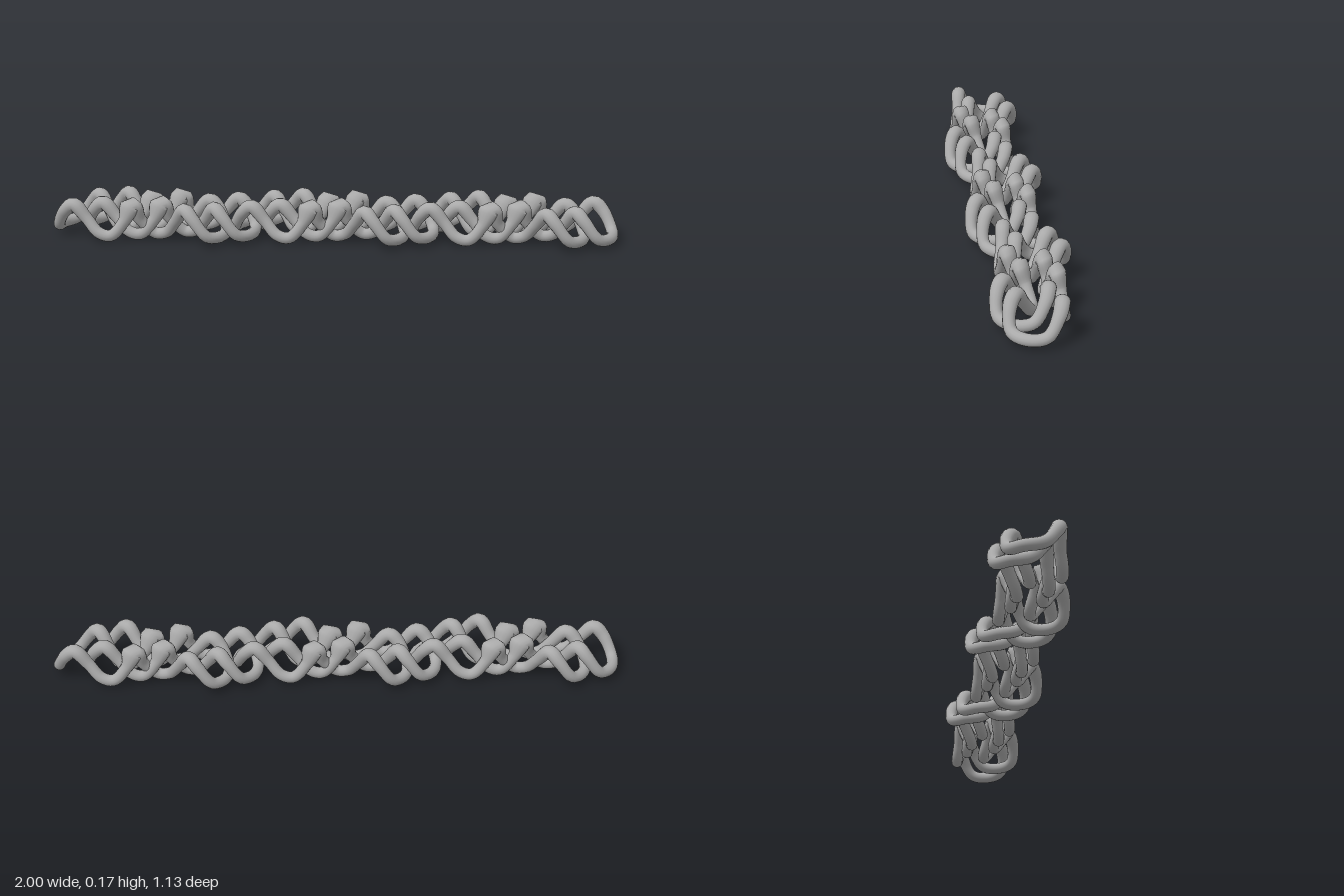
import * as THREE from 'three';

const R = 0.023;

// Half of one long link: low rounded end, crest, trough, raised middle knuckle, and on to the far end.
const half = [
  [-0.322, 0.034, 0.075], [-0.3, 0.045, 0.142], [-0.25, 0.112, 0.168], [-0.21, 0.143, 0.163],
  [-0.16, 0.09, 0.147], [-0.11, 0.036, 0.138], [-0.065, 0.027, 0.12], [-0.02, 0.085, 0.092],
  [0, 0.147, 0.07],
  [0.02, 0.085, 0.04], [0.065, 0.027, 0], [0.11, 0.036, -0.01], [0.16, 0.09, 0],
  [0.21, 0.143, 0.01], [0.25, 0.112, 0.015], [0.3, 0.045, -0.008],
];

function linkGeometry() {
  // The second half is the first turned 180 degrees about the vertical axis
  const pts = [
    ...half.map(([x, y, z]) => new THREE.Vector3(x, y, z)),
    ...half.map(([x, y, z]) => new THREE.Vector3(-x, y, -z)),
  ];
  const curve = new THREE.CatmullRomCurve3(pts, true, 'centripetal');
  const segs = 220, sides = 14;
  const geo = new THREE.TubeGeometry(curve, segs, R, sides, true);
  const pos = geo.attributes.position;
  const c = new THREE.Vector3(), p = new THREE.Vector3();

  // Swell the wire at the crests and, more strongly, at the middle knuckles
  for (let i = 0; i <= segs; i++) {
    curve.getPointAt((i % segs) / segs, c);
    const high = THREE.MathUtils.smoothstep(c.y, 0.07, 0.145);
    const knuckle = Math.abs(c.x) < 0.08 ? high : 0;
    const crest = high - knuckle;
    for (let j = 0; j <= sides; j++) {
      const k = i * (sides + 1) + j;
      p.fromBufferAttribute(pos, k).sub(c);
      p.x *= 1 + 0.2 * crest + 0.85 * knuckle;
      p.y *= 1 + 0.15 * crest + 0.4 * knuckle;
      p.z *= 1 + 0.25 * crest + 0.2 * knuckle;
      p.add(c);
      pos.setXYZ(k, p.x, Math.max(p.y, 0), p.z);
    }
  }

  // Smooth normals, merged across the tube's seams
  geo.computeVertexNormals();
  const n = geo.attributes.normal, a = new THREE.Vector3(), b = new THREE.Vector3();
  const weld = (k, l) => {
    a.fromBufferAttribute(n, k).add(b.fromBufferAttribute(n, l)).normalize();
    n.setXYZ(k, a.x, a.y, a.z);
    n.setXYZ(l, a.x, a.y, a.z);
  };
  for (let i = 0; i <= segs; i++) weld(i * (sides + 1), i * (sides + 1) + sides);
  for (let j = 0; j <= sides; j++) weld(j, segs * (sides + 1) + j);
  return geo;
}

export function createModel() {
  const model = new THREE.Group();
  model.name = 'linkChain';
  const metal = new THREE.MeshStandardMaterial({ color: 0xaaaaaa });
  metal.name = 'grey metal';
  const geo = linkGeometry();

  // Three pairs of interwoven links stepping along the diagonal
  for (let g = -1; g <= 1; g++) {
    const pair = new THREE.Group();
    pair.name = `linkPair${g + 2}`;
    pair.position.set(g * 0.6125, 0, g * -0.33);
    for (const s of [-1, 1]) {
      const link = new THREE.Mesh(geo, metal);
      link.name = s < 0 ? 'frontLink' : 'backLink';
      link.position.set(s * 0.0425, 0, s * -0.04);
      pair.add(link);
    }
    model.add(pair);
  }
  return model;
}
